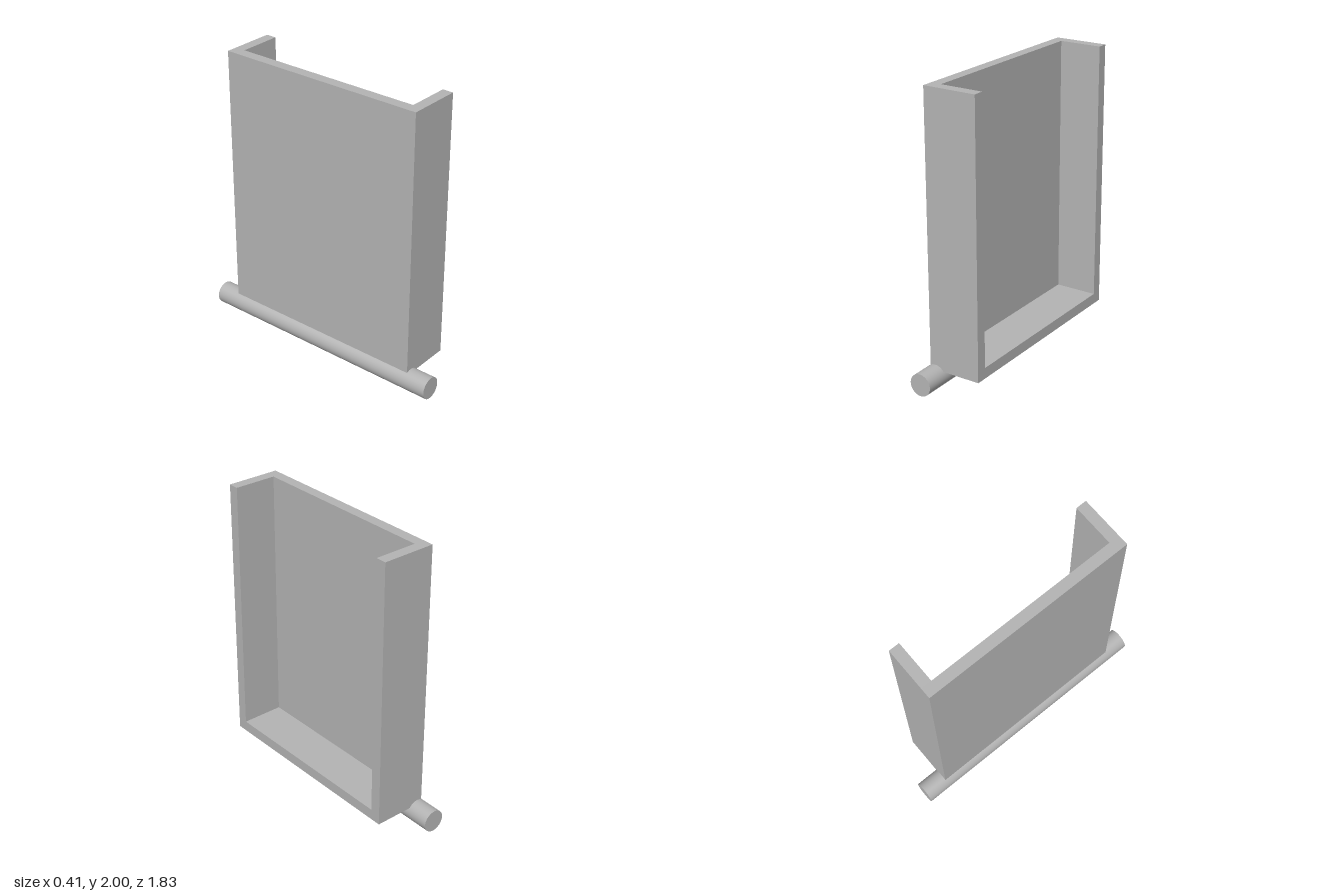
import * as THREE from 'three';

export function createModel() {
  const model = new THREE.Group();
  const grey = new THREE.MeshStandardMaterial({ color: 0xb3b3b3 });
  grey.name = 'plain grey';

  const add = (name, geometry, x, y, z) => {
    const mesh = new THREE.Mesh(geometry, grey);
    mesh.name = name;
    mesh.position.set(x, y, z);
    model.add(mesh);
  };

  const wall = 0.075, half = 0.753, bottom = 0.12, top = 2;
  const backX = -0.168, openX = 0.207;
  const inner = half - wall;

  // U-shaped rim: floor and two side walls, open at the top
  const rim = new THREE.Shape([
    [-half, bottom], [half, bottom], [half, top], [inner, top],
    [inner, bottom + wall], [-inner, bottom + wall], [-inner, top], [-half, top],
  ].map(([u, v]) => new THREE.Vector2(u, v)));
  const rimGeometry = new THREE.ExtrudeGeometry(rim, { depth: openX - backX - wall, bevelEnabled: false });
  rimGeometry.rotateY(Math.PI / 2);
  add('trayRim', rimGeometry, backX + wall, 0, 0);

  // Flat panel closing the tray on the -x side
  add('backPanel', new THREE.BoxGeometry(wall, top - bottom, half * 2),
    backX + wall / 2, (top + bottom) / 2, 0);

  // Round rod under the back edge, longer than the tray
  const radius = 0.077;
  const rod = new THREE.CylinderGeometry(radius, radius, 1.83, 64).rotateX(Math.PI / 2);
  add('hingeRod', rod, -0.13, radius, 0);

  return model;
}
